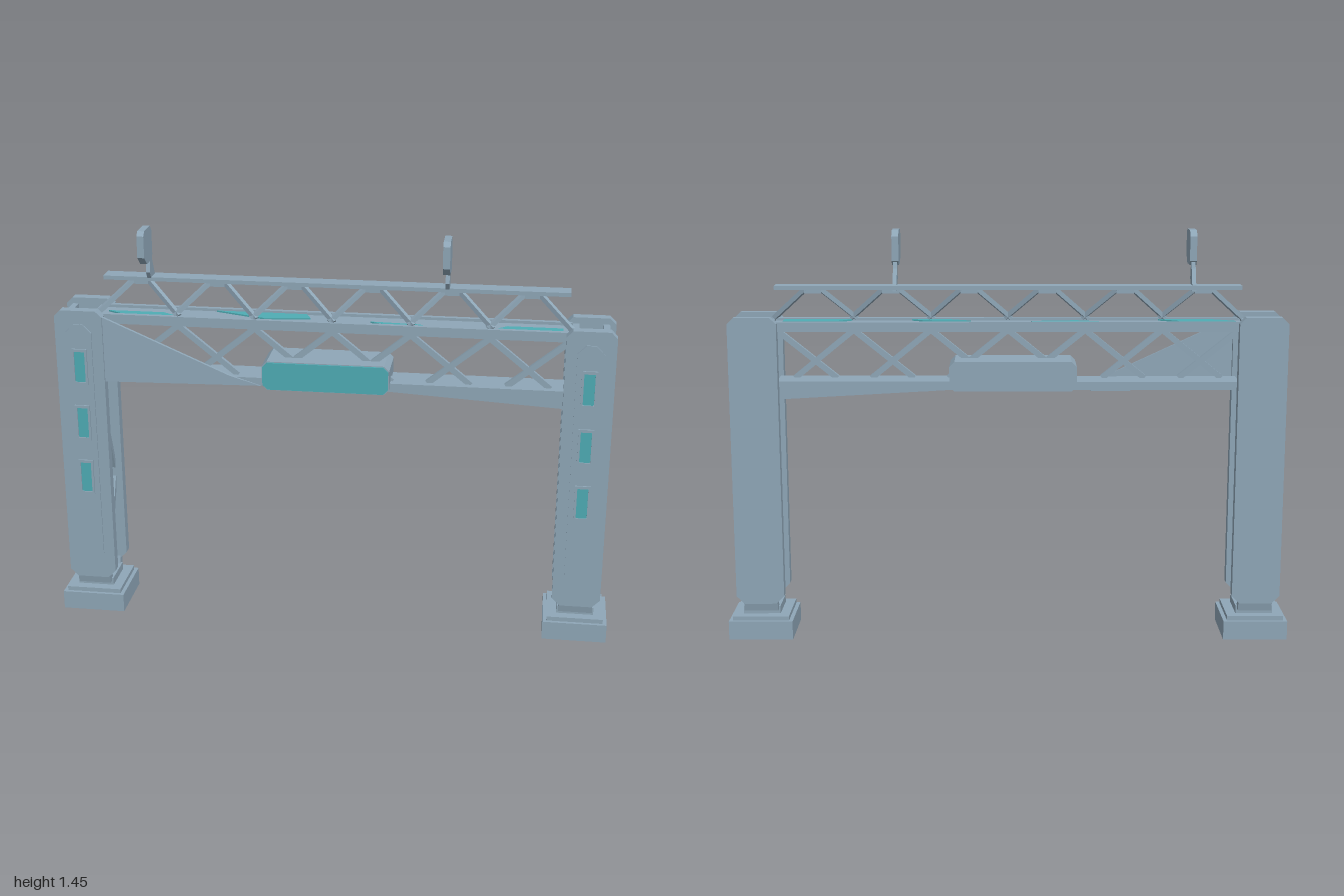
import * as THREE from 'three';

const steel = new THREE.MeshStandardMaterial({ color: 0x8fa7b8, side: THREE.DoubleSide });
steel.name = 'blue grey steel';
const teal = new THREE.MeshStandardMaterial({ color: 0x4fadb5, side: THREE.DoubleSide });
teal.name = 'teal panel';

function add(parent, name, geo, mat = steel) {
  const m = new THREE.Mesh(geo, mat);
  m.name = name;
  parent.add(m);
  return m;
}

// Box given by its min and max on each axis
function box(parent, name, [x0, x1], [y0, y1], [z0, z1], mat) {
  const g = new THREE.BoxGeometry(x1 - x0, y1 - y0, z1 - z0);
  g.translate((x0 + x1) / 2, (y0 + y1) / 2, (z0 + z1) / 2);
  return add(parent, name, g, mat);
}

function extruded(pts, depth) {
  const s = new THREE.Shape(pts.map(([a, b]) => new THREE.Vector2(a, b)));
  return new THREE.ExtrudeGeometry(s, { depth, bevelEnabled: false });
}

// Outline in x,y extruded between z0 and z1
function frontPlate(parent, name, pts, z0, z1, mat) {
  return add(parent, name, extruded(pts, z1 - z0).translate(0, 0, z0), mat);
}

// Outline in z,y extruded along x, centred on x
function sidePlate(parent, name, pts, x, width, mat) {
  const g = extruded(pts, width).rotateY(-Math.PI / 2).translate(x + width / 2, 0, 0);
  return add(parent, name, g, mat);
}

// Rectangle with cut corners
function chamfered(x0, x1, y0, y1, top, bottom = top) {
  return [[x0 + bottom, y0], [x1 - bottom, y0], [x1, y0 + bottom], [x1, y1 - top],
    [x1 - top, y1], [x0 + top, y1], [x0, y1 - top], [x0, y0 + bottom]];
}

// Square bar from a to b
function bar(parent, name, a, b, w = 0.018, d = w) {
  const p = new THREE.Vector3(...a), q = new THREE.Vector3(...b);
  const m = add(parent, name, new THREE.BoxGeometry(w, d, p.distanceTo(q)));
  m.position.copy(p).add(q).multiplyScalar(0.5);
  m.lookAt(q);
  return m;
}

function makeLeg(side) {
  const leg = new THREE.Group();
  leg.name = side > 0 ? 'leftLeg' : 'rightLeg';
  const cx = side * 0.885;
  const across = (h) => [cx - h, cx + h];

  // Stepped foot
  box(leg, 'footBlock', across(0.114), [0, 0.068], [-0.112, 0.114]);
  box(leg, 'footStep', across(0.1), [0.068, 0.084], [-0.1, 0.102]);
  box(leg, 'footNeck', across(0.066), [0.084, 0.112], [-0.066, 0.068]);
  box(leg, 'footSocket', across(0.05), [0.112, 0.135], [-0.045, 0.05]);

  // Front and back plates with tapered feet
  const outline = chamfered(cx - 0.085, cx + 0.085, 0.13, 1.158, 0.022, 0.028);
  frontPlate(leg, 'frontColumn', outline, 0.062, 0.099);
  frontPlate(leg, 'backColumn', outline, -0.097, -0.06);
  for (const s of [-1, 1]) {
    sidePlate(leg, 'columnToe', [[s * 0.095, 0.15], [s * 0.062, 0.15], [s * 0.05, 0.1], [s * 0.085, 0.1]], cx, 0.12);
  }

  // Raised panel with three framed windows
  frontPlate(leg, 'raisedPanel', chamfered(cx - 0.046, cx + 0.046, 0.2, 1.11, 0.03), 0.099, 0.104);
  for (const y of [0.955, 0.745, 0.535]) {
    frontPlate(leg, 'window', chamfered(cx - 0.02, cx + 0.02, y - 0.056, y + 0.056, 0.004), 0.102, 0.106, teal);
    for (const s of [-1, 1]) {
      box(leg, 'windowJamb', [cx + s * 0.023 - 0.004, cx + s * 0.023 + 0.004], [y - 0.066, y + 0.066], [0.1, 0.11]);
      box(leg, 'windowSill', across(0.026), [y + s * 0.061 - 0.005, y + s * 0.061 + 0.005], [0.1, 0.11]);
    }
  }

  // Cross braces and filler panels between the plates
  for (const x of [cx - 0.052, cx + 0.052]) {
    bar(leg, 'brace', [x, 0.18, 0.066], [x, 0.47, -0.066]);
    bar(leg, 'brace', [x, 0.51, -0.066], [x, 0.83, 0.055]);
    bar(leg, 'brace', [x, 0.87, 0.066], [x, 1.07, -0.06]);
    bar(leg, 'tie', [x, 1.125, 0.066], [x, 1.125, -0.066], 0.022);
    bar(leg, 'tie', [x, 0.87, 0.066], [x, 0.87, -0.066], 0.016);
  }
  sidePlate(leg, 'lowerTealPanel', [[0.062, 0.27], [0.062, 0.35], [-0.05, 0.49], [-0.05, 0.43]], cx, 0.08, teal);
  sidePlate(leg, 'lowerGusset', [[0.062, 0.35], [0.062, 0.512], [-0.062, 0.512]], cx, 0.07);
  sidePlate(leg, 'middleTealPanel', [[0.04, 0.82], [-0.062, 0.82], [-0.062, 0.58]], cx, 0.08, teal);
  sidePlate(leg, 'middleGusset', [[0.06, 0.83], [0.06, 0.87], [-0.062, 0.87], [-0.062, 0.82]], cx, 0.07);
  sidePlate(leg, 'upperGusset', [[0.06, 0.88], [-0.062, 0.88], [-0.062, 1.07]], cx, 0.07);
  box(leg, 'upperTealPanel', across(0.045), [0.88, 1.07], [-0.062, -0.054], teal);
  return leg;
}

function makeLamp(x) {
  const lamp = new THREE.Group();
  lamp.name = 'lamp';
  sidePlate(lamp, 'lampArm', [[-0.042, 1.243], [0.005, 1.25], [0.028, 1.285], [0.012, 1.34], [-0.006, 1.34], [-0.012, 1.32], [-0.04, 1.265]], x, 0.014);
  sidePlate(lamp, 'lampHead', [[0.115, 1.36], [0.115, 1.435], [0.1, 1.45], [0.02, 1.45], [0.003, 1.43], [0.003, 1.345], [0.015, 1.33], [0.08, 1.33]], x, 0.024);
  return lamp;
}

function makeSpan() {
  const span = new THREE.Group();
  span.name = 'span';

  // Bottom beam, deck and top rail
  box(span, 'bottomBeam', [-0.81, 0.81], [0.9, 0.928], [-0.06, 0.06]);
  box(span, 'deck', [-0.82, 0.82], [1.118, 1.13], [-0.06, 0.055]);
  for (const z of [-0.06, 0.055]) box(span, 'deckEdge', [-0.82, 0.82], [1.106, 1.14], [z - 0.009, z + 0.009]);
  box(span, 'topRail', [-0.81, 0.81], [1.25, 1.264], [-0.05, 0.012]);
  for (const x of [-0.36, 0.35]) box(span, 'underPlate', [x - 0.07, x + 0.07], [0.89, 0.9], [-0.03, 0.04]);

  // Lattices: upright below the deck, leaning back above it
  for (let i = 0; i < 6; i++) {
    const x = -0.68 + i * 0.272;
    for (const s of [-1, 1]) {
      bar(span, 'lowerLattice', [x - s * 0.075, 0.928, 0.03], [x + s * 0.155, 1.115, 0.03], 0.016, 0.02);
      bar(span, 'upperLattice', [x + s * 0.025, 1.25, -0.012], [x + s * 0.145, 1.14, 0.05], 0.016);
    }
    bar(span, 'latticePeak', [x - 0.03, 1.243, -0.012], [x + 0.03, 1.243, -0.012], 0.018);
  }

  // Corner gusset leaning from the leg face to the beam, and the opposite wedge
  const gusset = frontPlate(span, 'cornerGusset', [[-0.81, 0.9], [-0.25, 0.9], [-0.36, 0.935], [-0.81, 1.14]], 0, 0.012);
  const p = gusset.geometry.attributes.position;
  for (let i = 0; i < p.count; i++) p.setZ(i, p.getZ(i) + 0.052 - (p.getX(i) + 0.25) * 0.05);
  gusset.geometry.computeVertexNormals();
  frontPlate(span, 'beamWedge', [[0.2, 0.9], [0.81, 0.866], [0.81, 0.93], [0.2, 0.93]], -0.058, 0.064);

  // Central housing with teal face
  frontPlate(span, 'housing', chamfered(-0.24, 0.205, 0.896, 1.0, 0.018), -0.068, 0.09);
  frontPlate(span, 'housingFace', chamfered(-0.237, 0.202, 0.899, 0.997, 0.017), 0.09, 0.096, teal);

  // Teal inlays on the deck
  const inlays = [[[-0.8, 0.0], [-0.6, 0.0], [-0.53, 0.045], [-0.72, 0.045]],
    [[-0.42, -0.045], [-0.1, -0.045], [-0.08, 0.0], [-0.24, 0.02]],
    [[0.13, 0.01], [0.3, 0.02], [0.34, 0.045], [0.2, 0.045]],
    [[0.55, 0.045], [0.6, 0.0], [0.79, 0.0], [0.79, 0.045]]];
  for (const pts of inlays) {
    const flat = pts.map(([x, z]) => [x, -z]);
    add(span, 'deckInlay', extruded(flat, 0.005).rotateX(-Math.PI / 2).translate(0, 1.13, 0), teal);
  }
  span.add(makeLamp(-0.645), makeLamp(0.393));
  return span;
}

export function createModel() {
  const model = new THREE.Group();
  model.name = 'gantry';
  model.add(makeLeg(1), makeLeg(-1), makeSpan());
  return model;
}
